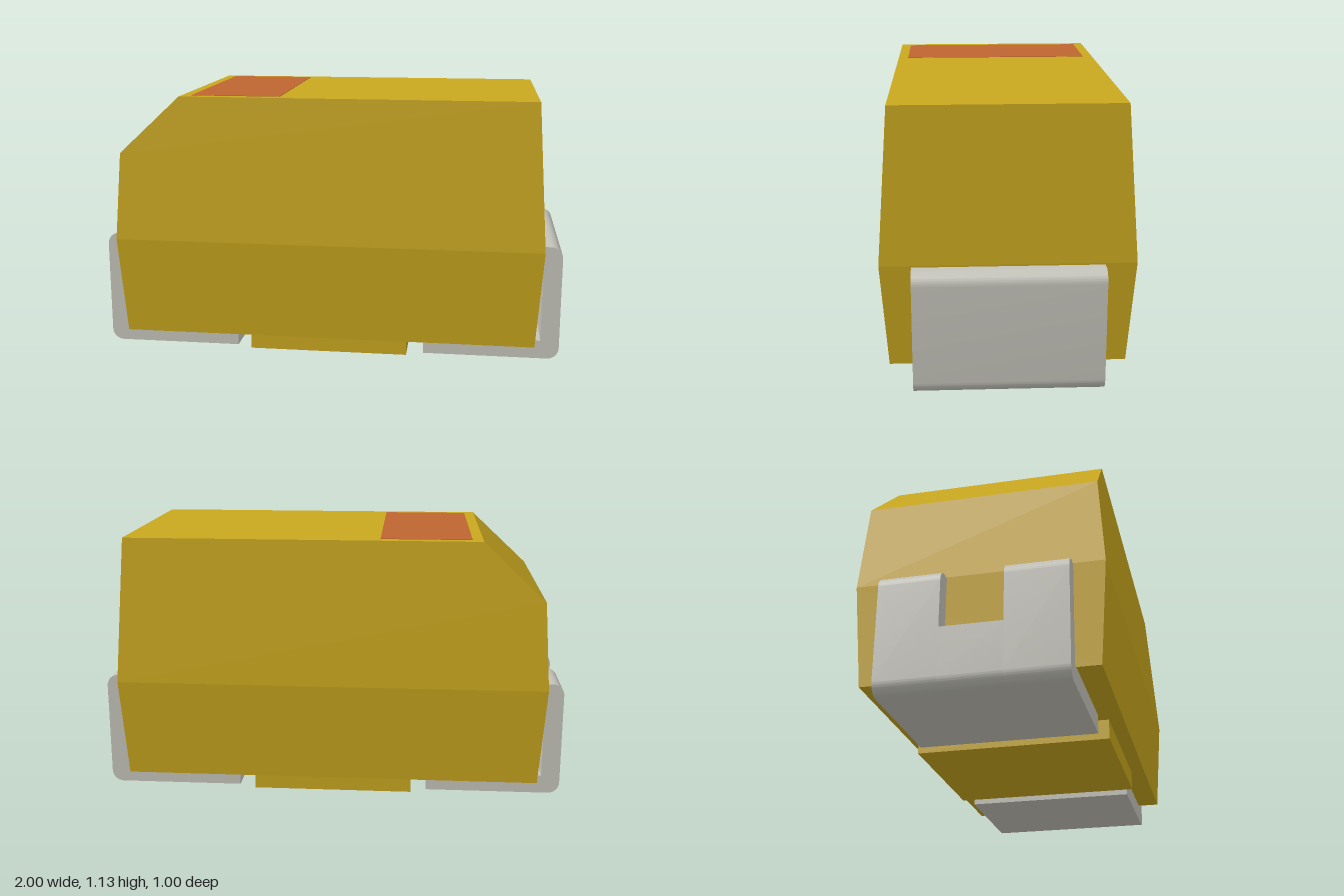
import * as THREE from 'three';
import { toCreasedNormals } from 'three/addons/utils/BufferGeometryUtils.js';
import { ConvexGeometry } from 'three/addons/geometries/ConvexGeometry.js';

const material = (color) => new THREE.MeshStandardMaterial({ color });

function add(group, name, geometry, mat, x = 0, y = 0, z = 0) {
  const mesh = new THREE.Mesh(geometry, mat);
  mesh.name = name;
  mesh.position.set(x, y, z);
  group.add(mesh);
  return mesh;
}

// L-shaped strip (foot towards the centre, upright at x = 1), centred in z
function leadGeometry(height, width, roundTop) {
  const r = 0.05, t = 0.08;
  const s = new THREE.Shape();
  s.moveTo(0.415, 0);
  s.lineTo(1 - r, 0);
  s.absarc(1 - r, r, r, -Math.PI / 2, 0, false);
  if (roundTop) {
    s.lineTo(1, height - r);
    s.absarc(1 - r, height - r, r, 0, Math.PI / 2, false);
  } else {
    s.lineTo(1, height);
  }
  s.lineTo(1 - t, height);
  s.lineTo(1 - t, t);
  s.lineTo(0.415, t);
  s.closePath();
  const g = new THREE.ExtrudeGeometry(s, { depth: width, bevelEnabled: false, curveSegments: 8 });
  g.translate(0, 0, -width / 2);
  return toCreasedNormals(g, 0.5);
}

export function createModel() {
  const model = new THREE.Group();
  model.name = 'chipCapacitor';
  const bodyMat = material(0xc9a71e);
  const metalMat = material(0xc5c4bb);
  const markMat = material(0xbf6530);

  // Moulded body: side profile with a half depth at each height, chamfered at the -x end
  const profile = [
    [-0.89, 0.083, 0.47], [0.89, 0.083, 0.47],
    [-0.917, 0.505, 0.5], [0.917, 0.505, 0.5],
    [-0.892, 0.88, 0.474], [-0.63, 1.125, 0.457], [0.875, 1.125, 0.457],
  ];
  const points = profile.flatMap(([x, y, z]) => [-z, z].map((d) => new THREE.Vector3(x, y, d)));
  add(model, 'body', new ConvexGeometry(points), bodyMat);

  // Standoff block under the body
  add(model, 'standoff', new THREE.BoxGeometry(0.69, 0.084, 0.82), bodyMat, -0.003, 0.042, 0);

  // Polarity band on the top
  add(model, 'polarityBand', new THREE.BoxGeometry(0.38, 0.006, 0.826), markMat, -0.395, 1.124, 0);

  // Plain lead at the +x end
  add(model, 'leftLead', leadGeometry(0.5, 0.75, true), metalMat);

  // Lead at the -x end, with a notch cut down its upright
  const notched = new THREE.Group();
  notched.name = 'rightLead';
  notched.rotation.y = Math.PI;
  for (const side of [-1, 1]) {
    add(notched, 'leadProng', leadGeometry(0.5, 0.25, true), metalMat, 0, 0, side * 0.25);
  }
  add(notched, 'leadMiddle', leadGeometry(0.25, 0.25, false), metalMat);
  model.add(notched);

  return model;
}
